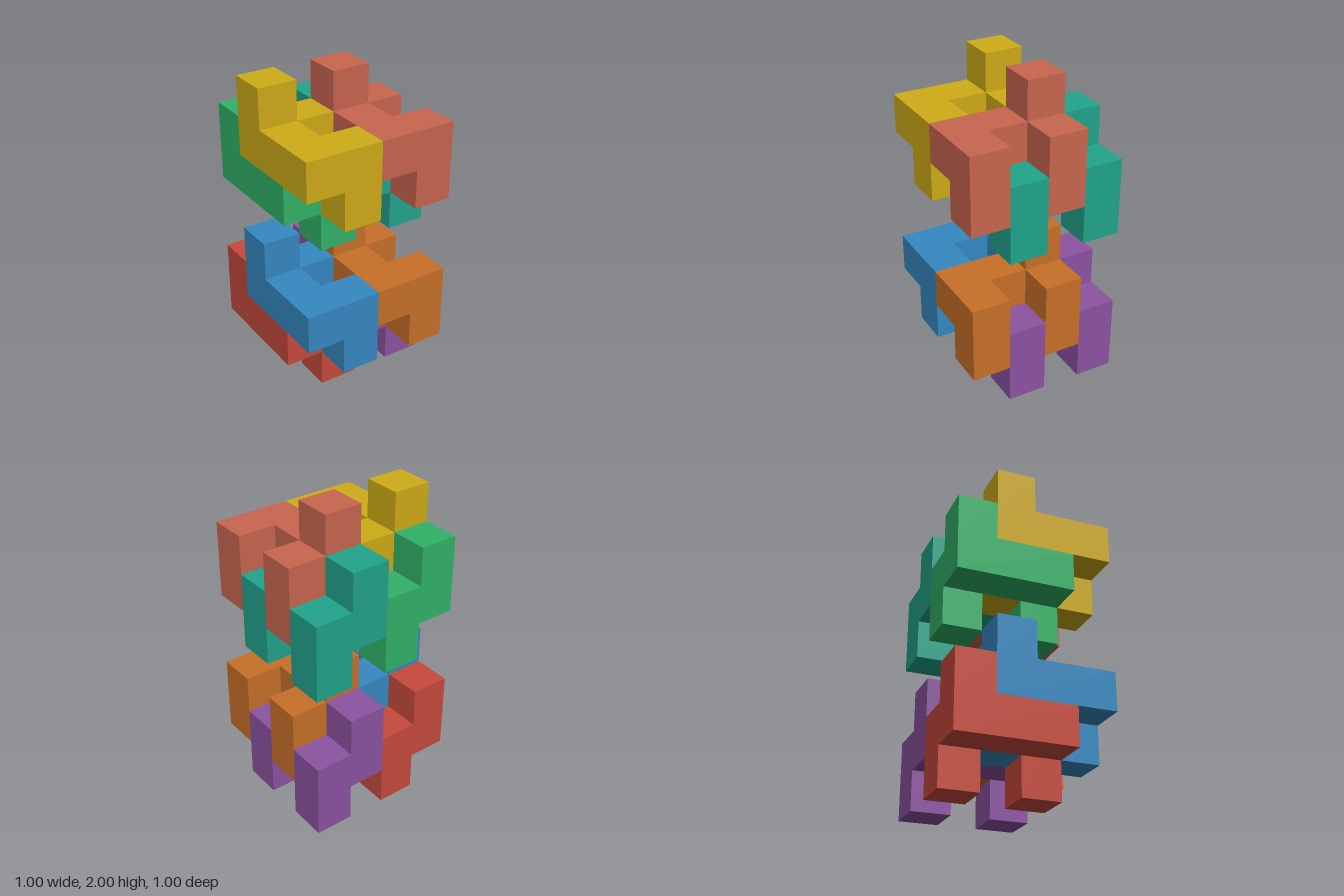
import * as THREE from 'three';

const U = 0.25; // edge of one unit cube

// Boxes of one puzzle piece in unit cubes: [name, x, y, z, width, height, depth]
const PIECE = [
  ['spine', 0, 2, 1, 1, 1, 3],
  ['knob', 0, 3, 1, 1, 1, 1],
  ['rearLeg', 1, 1, 1, 1, 2, 1],
  ['frontLeg', 1, 1, 3, 1, 2, 1],
];

// All pieces are shifted copies: [name, color, x, y, z shift in unit cubes]
const PIECES = [
  ['lowerFrontRightPiece', 0x3589c2, 0, 0, 0],
  ['lowerFrontLeftPiece', 0xc97028, 2, 0, 0],
  ['lowerBackRightPiece', 0xc84a3c, 0, -1, -1],
  ['lowerBackLeftPiece', 0x8c53a2, 2, -1, -1],
  ['upperFrontRightPiece', 0xcfac17, 0, 4, 0],
  ['upperFrontLeftPiece', 0xc9664f, 2, 4, 0],
  ['upperBackRightPiece', 0x31b368, 0, 3, -1],
  ['upperBackLeftPiece', 0x21a58b, 2, 3, -1],
];

function makePiece(name, color) {
  const piece = new THREE.Group();
  piece.name = name;
  const material = new THREE.MeshStandardMaterial({ color });
  for (const [part, x, y, z, w, h, d] of PIECE) {
    const mesh = new THREE.Mesh(new THREE.BoxGeometry(w * U, h * U, d * U), material);
    mesh.name = part;
    mesh.position.set((x + w / 2) * U, (y + h / 2) * U, (z + d / 2) * U);
    piece.add(mesh);
  }
  return piece;
}

export function createModel() {
  const model = new THREE.Group();
  model.name = 'interlockingBlocks';
  for (const [name, color, x, y, z] of PIECES) {
    const piece = makePiece(name, color);
    piece.position.set((x - 2) * U, y * U, (z - 2) * U);
    model.add(piece);
  }
  return model;
}
